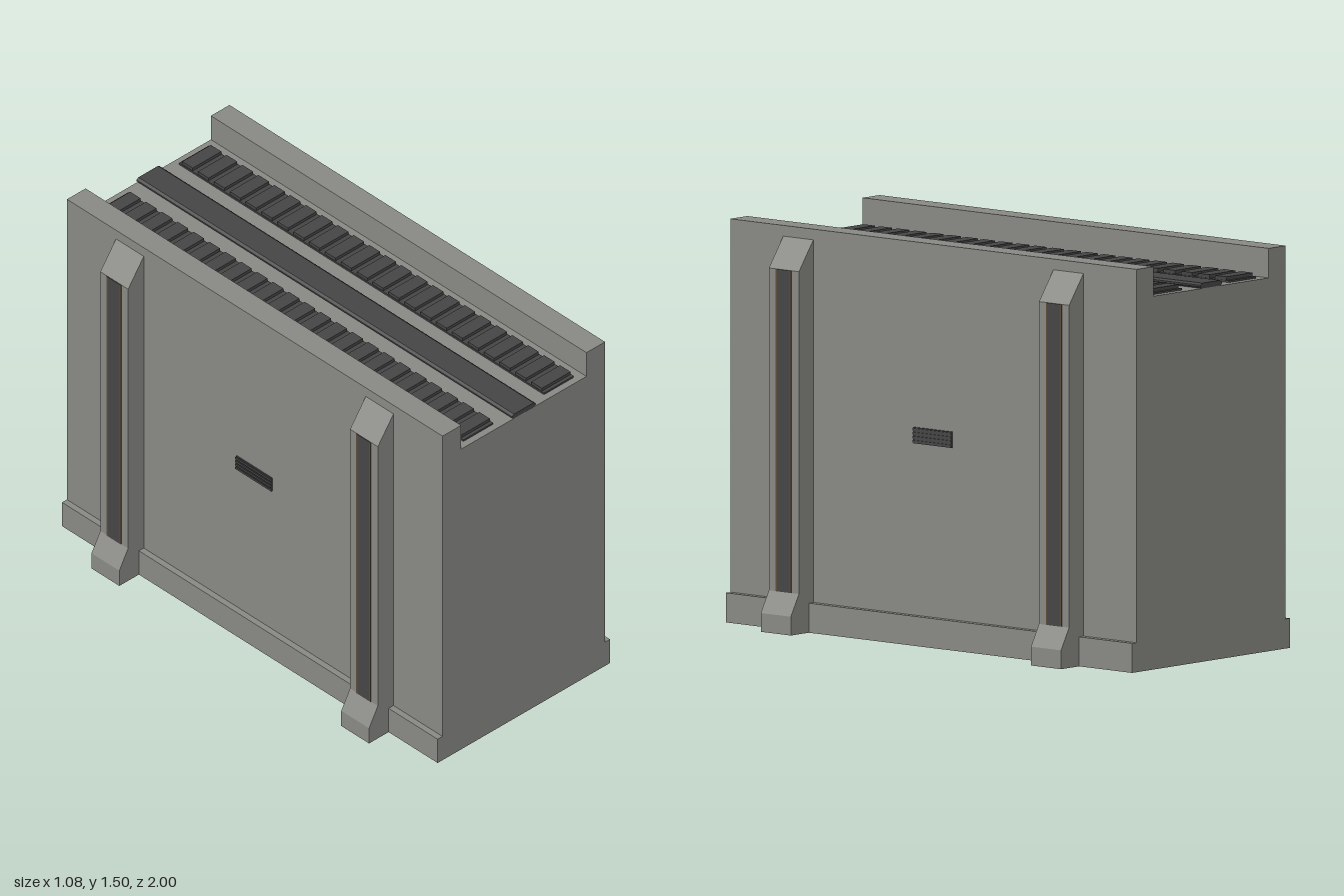
import * as THREE from 'three';

export function createModel() {
  const mat = (name, color) => Object.assign(new THREE.MeshStandardMaterial({ color }), { name });
  const concrete = mat('concrete grey', 0x888884);
  const dark = mat('dark metal', 0x454545);
  const brown = mat('brown trim', 0x5c4c38);
  const model = new THREE.Group();
  model.name = 'wallSegment';

  const add = (name, geo, material, x = 0, y = 0, z = 0) => {
    const m = new THREE.Mesh(geo, material);
    m.name = name;
    m.position.set(x, y, z);
    model.add(m);
    return m;
  };
  const box = (name, w, h, d, material, x, y, z) =>
    add(name, new THREE.BoxGeometry(w, h, d), material, x, y, z);
  // Outline in x and y, extruded along z around its centre
  const prism = (points, depth) => new THREE.ExtrudeGeometry(
    new THREE.Shape(points.map(p => new THREE.Vector2(...p))),
    { depth, bevelEnabled: false }).translate(0, 0, -depth / 2);

  // Wall with plinth and two raised parapets
  const half = [[0.44, 0], [0.44, 0.11], [0.415, 0.11], [0.415, 1.5], [0.32, 1.5], [0.32, 1.39]];
  const mirrored = half.map(([x, y]) => [-x, y]).reverse();
  add('wall', prism([...half, ...mirrored], 2), concrete);

  // Central walkway strip with bevelled edges
  add('centreStrip', prism([[-0.05, 1.388], [0.05, 1.388], [0.06, 1.397], [0.06, 1.403],
    [0.05, 1.41], [-0.05, 1.41], [-0.06, 1.403], [-0.06, 1.397]], 2), dark);

  for (const s of [-1, 1]) {
    // Ribbed tread beside the strip
    box('treadBase', 0.152, 0.008, 1.944, dark, s * 0.206, 1.393, 0);
    const pitch = 1.944 / 23;
    for (let i = 0; i < 23; i++) {
      box('treadRib', 0.146, 0.014, pitch * 0.66, dark, s * 0.206, 1.403, (i - 11) * pitch);
    }

    // Small slatted vent in the side wall
    box('ventPlate', 0.008, 0.06, 0.19, dark, s * 0.416, 0.78, 0);
    for (let i = 0; i < 4; i++) {
      box('ventSlat', 0.006, 0.009, 0.19, dark, s * 0.421, 0.7575 + i * 0.015, 0);
    }

    // Buttresses with sloped caps, flared feet and inlaid dark strips
    for (const z of [-0.665, 0.665]) {
      const outline = [[0.4, 0], [0.54, 0], [0.54, 0.07], [0.495, 0.15],
        [0.495, 1.35], [0.415, 1.46], [0.4, 1.46]].map(([x, y]) => [s * x, y]);
      add('buttress', prism(outline, 0.148), concrete, 0, 0, z);
      box('inlay', 0.006, 1.2, 0.062, dark, s * 0.495, 0.75, z);
      for (const e of [-1, 1]) {
        box('inlayTrim', 0.006, 1.2, 0.007, brown, s * 0.495, 0.75, z + e * 0.0345);
      }
    }
  }
  return model;
}
